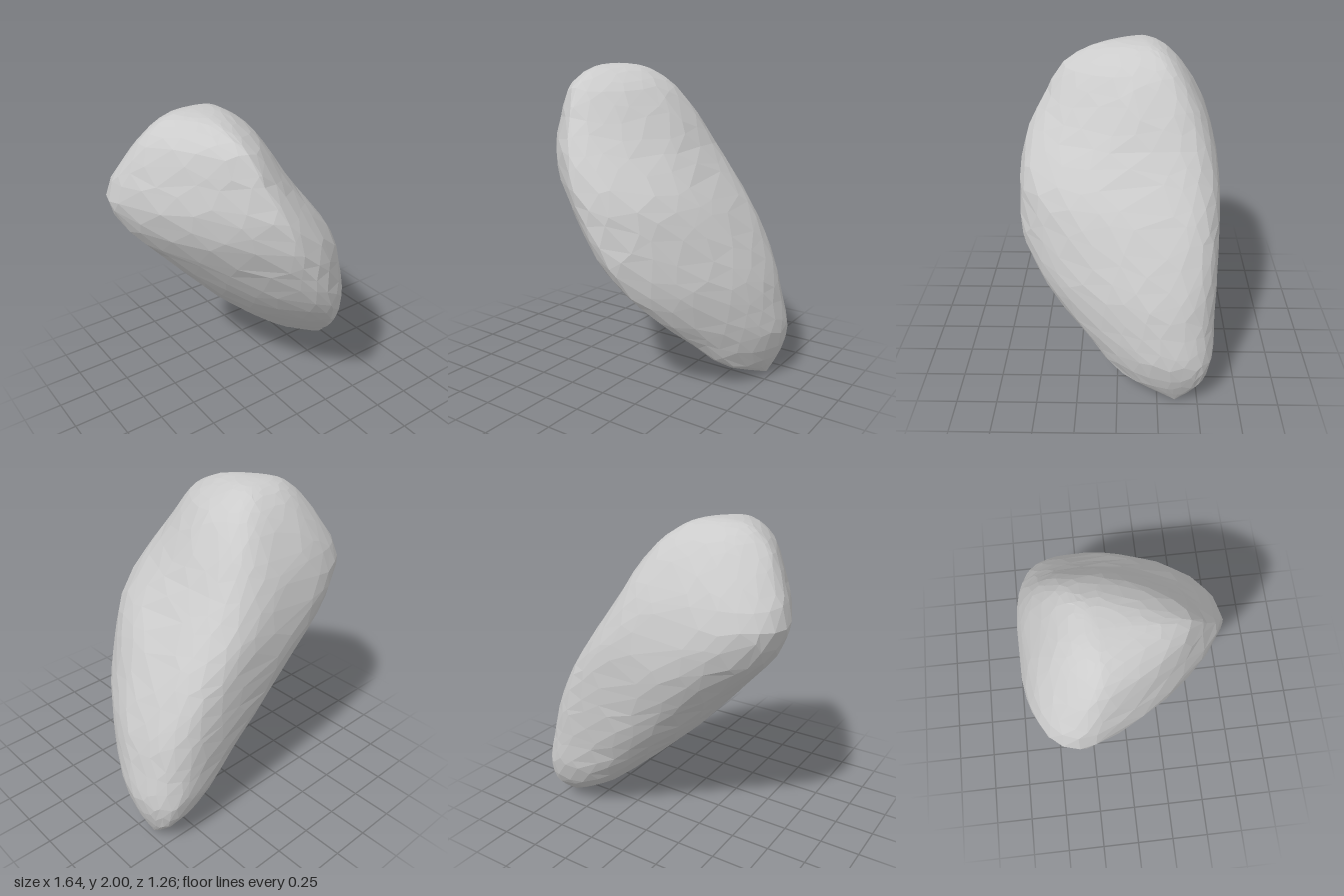
import * as THREE from 'three';

// Profile keys from top to bottom: height, left x, right x, front z, back z, z of the leftmost point
const PROFILE = [
  [2.0, -0.33, -0.33, -0.14, -0.14, -0.14],
  [1.99, -0.45, -0.2, 0.03, -0.21, -0.14],
  [1.95, -0.55, -0.1, 0.2, -0.3, -0.15],
  [1.85, -0.66, 0.03, 0.37, -0.4, -0.18],
  [1.68, -0.76, 0.155, 0.47, -0.51, -0.25],
  [1.5, -0.825, 0.26, 0.57, -0.585, -0.29],
  [1.3, -0.75, 0.4, 0.625, -0.625, -0.25],
  [1.1, -0.58, 0.54, 0.63, -0.63, -0.2],
  [0.9, -0.4, 0.65, 0.62, -0.62, -0.16],
  [0.7, -0.22, 0.74, 0.53, -0.61, -0.15],
  [0.5, -0.01, 0.79, 0.37, -0.595, -0.16],
  [0.32, 0.19, 0.82, 0.18, -0.585, -0.2],
  [0.15, 0.4, 0.78, 0.0, -0.52, -0.25],
  [0.0, 0.71, 0.71, -0.36, -0.36, -0.36],
];
const ROWS = 26;
const SEGMENTS = 24;
const { smoothstep } = THREE.MathUtils;
const profile = new THREE.CubicInterpolant([...PROFILE.keys()], PROFILE.flat(), 6);

function seeded(seed) {
  return () => (seed = (seed * 16807) % 2147483647) / 2147483647;
}

// Roundness of each quarter of a section: 1 is an ellipse, more is tapered, less is fuller
function quarterPower(front, right, y) {
  if (front) return right ? 1.35 - 0.35 * Math.exp(-(((y - 1.25) / 0.25) ** 2)) : 1.45;
  return right ? 0.82 - 0.3 * smoothstep(y, 0.3, 1) : 0.86 + 0.34 * smoothstep(y, 1.4, 1.9);
}

// Point on the surface at a height step t (0 top, 1 bottom) and an angle (0 = +x, PI/2 = +z)
function surfacePoint(t, angle) {
  const [y, xL, xR, zF, zB, zL] = profile.evaluate(t * (PROFILE.length - 1));
  const c = Math.cos(angle), s = Math.sin(angle);
  const front = s >= 0, right = c >= 0;
  // The front ridge, the back ridge and the right edge drift as the rock leans
  const ridgeX = front
    ? 0.71 - 0.78 * y + 0.13 * y * y
    : 0.71 - 1.04 * smoothstep(y, 0, 1.75);
  const edgeZ = right ? -0.36 + 0.22 * smoothstep(y, 0, 1.1) : zL;
  const power = quarterPower(front, right, y);
  return [
    ridgeX + ((right ? xR : xL) - ridgeX) * Math.abs(c) ** power,
    y,
    edgeZ + ((front ? zF : zB) - edgeZ) * Math.abs(s) ** power,
  ];
}

function boulderGeometry() {
  const random = seeded(4217);
  const positions = [], index = [];
  // Staggered rows, with points slid along the surface for uneven facets
  for (let j = 0; j <= ROWS; j++) {
    const loose = j > 2 && j < ROWS - 1 ? 1 : 0;
    for (let i = 0; i < SEGMENTS; i++) {
      const slide = (random() - 0.5) * 0.6 * loose;
      const t = (j + (random() - 0.5) * 0.7 * loose) / ROWS;
      const angle = ((i + (j % 2) * 0.5 + slide) / SEGMENTS) * Math.PI * 2;
      positions.push(...surfacePoint(t, angle));
    }
  }
  for (let j = 0; j < ROWS; j++) {
    for (let i = 0; i < SEGMENTS; i++) {
      const a = j * SEGMENTS + i, b = j * SEGMENTS + ((i + 1) % SEGMENTS);
      const c = a + SEGMENTS, d = b + SEGMENTS;
      if (j % 2) index.push(a, d, c, a, b, d);
      else index.push(a, b, c, b, d, c);
    }
  }
  const geometry = new THREE.BufferGeometry();
  geometry.setAttribute('position', new THREE.Float32BufferAttribute(positions, 3));
  geometry.setIndex(index);
  geometry.computeVertexNormals();
  return geometry;
}

export function createModel() {
  const group = new THREE.Group();
  group.name = 'rock';
  const material = new THREE.MeshStandardMaterial({ color: 0xcccccc, flatShading: true });
  const boulder = new THREE.Mesh(boulderGeometry(), material);
  boulder.name = 'boulder';
  group.add(boulder);
  return group;
}
